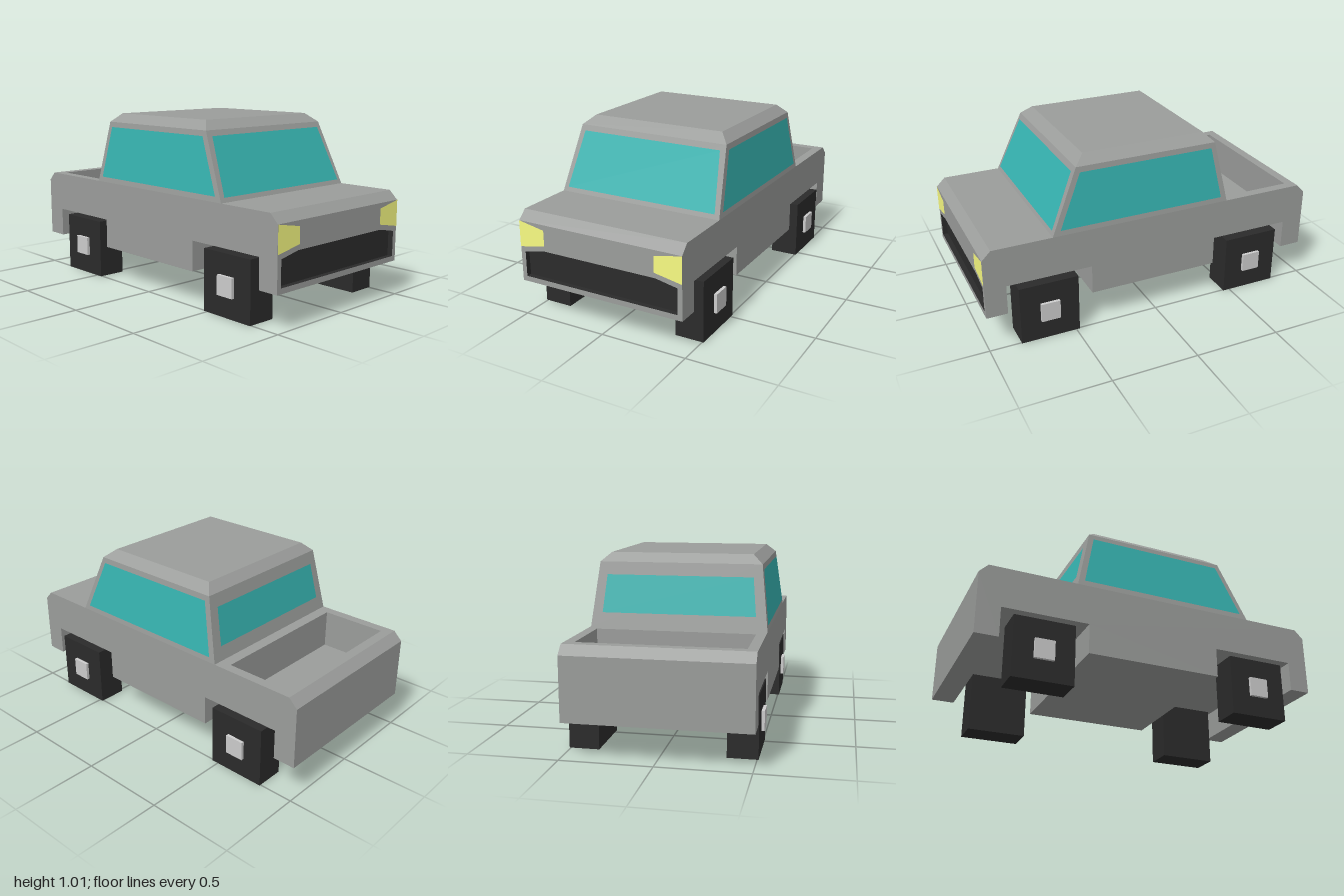
import * as THREE from 'three';

const mat = (color) => new THREE.MeshStandardMaterial({ color, flatShading: true });
const W = 0.4975; // half width of the body

// Flat convex polygons (corners counter-clockwise from outside) as one geometry
function panels(polys) {
  const pos = [];
  for (const p of polys) {
    for (let i = 1; i < p.length - 1; i++) pos.push(...p[0], ...p[i], ...p[i + 1]);
  }
  const g = new THREE.BufferGeometry();
  g.setAttribute('position', new THREE.Float32BufferAttribute(pos, 3));
  g.computeVertexNormals();
  return g;
}

// Quads joining one ring of corners to the next
const bridge = (a, b) => a.map((p, i) => {
  const j = (i + 1) % a.length;
  return [p, a[j], b[j], b[i]];
});

const shape = (pts) => new THREE.Shape(pts.map(([x, y]) => new THREE.Vector2(x, y)));

function holed(outer, hole) {
  const s = shape(outer);
  s.holes.push(shape(hole));
  return new THREE.ShapeGeometry(s);
}

export function createModel() {
  const model = new THREE.Group();
  model.name = 'pickupTruck';
  const paint = mat(0x9b9d9b), glass = mat(0x36b3b0), black = mat(0x2b2b2b);
  const lamp = mat(0xf8fb82), metal = mat(0xcccccc);

  const shell = new THREE.Group();
  shell.name = 'shell';
  shell.position.x = -0.0125;
  model.add(shell);
  const add = (name, geometry, material, parent = shell) => {
    const m = new THREE.Mesh(geometry, material);
    m.name = name;
    parent.add(m);
    return m;
  };

  // Body side outline as (z, y), with the wheel cut-outs
  const outline = [
    [1, 0.2], [1, 0.55], [0.95, 0.6], [-0.95, 0.6], [-1, 0.55], [-1, 0.2],
    [-0.87, 0.2], [-0.87, 0.37], [-0.385, 0.37], [-0.385, 0.2],
    [0.39, 0.2], [0.39, 0.37], [0.88, 0.37], [0.88, 0.2],
  ];
  for (const s of [1, -1]) {
    const g = new THREE.ShapeGeometry(shape(outline.map(([z, y]) => [-s * z, y])));
    add(s > 0 ? 'leftBodySide' : 'rightBodySide', g.rotateY(s * Math.PI / 2).translate(s * W, 0, 0), paint);
  }

  // Skin across the body; the front face and the deck have openings and follow below
  const skin = outline.map(([z, y], i) => {
    const [z2, y2] = outline[(i + 1) % outline.length];
    return [[-W, y, z], [W, y, z], [W, y2, z2], [-W, y2, z2]];
  }).filter((_, i) => i !== 0 && i !== 2);
  add('bodySkin', panels(skin), paint);

  // Front face with recessed grille
  const grille = [[-0.47, 0.23], [0.47, 0.23], [0.47, 0.375], [0.345, 0.4], [-0.345, 0.4], [-0.47, 0.375]];
  add('frontFace', holed([[-W, 0.2], [W, 0.2], [W, 0.55], [-W, 0.55]], grille).translate(0, 0, 1), paint);
  const rim = grille.map(([x, y]) => [x, y, 1]);
  const back = grille.map(([x, y]) => [x, y, 0.97]);
  add('grille', panels([...bridge(rim, back), back]), black);

  // Deck with the open cargo bed
  const bed = [[-0.4425, 0.52], [0.4425, 0.52], [0.4425, 0.895], [-0.4425, 0.895]];
  add('deck', holed([[-W, -0.95], [W, -0.95], [W, 0.95], [-W, 0.95]], bed)
    .rotateX(-Math.PI / 2).translate(0, 0.6, 0), paint);
  const bedTop = bed.map(([x, d]) => [x, 0.6, -d]);
  const bedFloor = bed.map(([x, d]) => [x, 0.38, -d]);
  add('cargoBed', panels([...bridge(bedTop, bedFloor), bedFloor]), paint);

  // Headlights
  for (const s of [1, -1]) {
    const p = [[W, 0.4], [W, 0.55], [0.338, 0.52], [0.338, 0.43]].map(([x, y]) => [s * x, y, 1.002]);
    add(s > 0 ? 'leftHeadlight' : 'rightHeadlight', panels([s > 0 ? p : p.reverse()]), lamp);
  }

  // Cabin: tapered rings of half width, height, front z and back z
  const rings = [[W, 0.6, 0.61, -0.455], [0.4575, 0.96, 0.455, -0.38], [0.4025, 1.01, 0.395, -0.33]]
    .map(([w, y, f, b]) => [[-w, y, f], [w, y, f], [w, y, b], [-w, y, b]]);
  add('cabin', panels([...bridge(rings[0], rings[1]), ...bridge(rings[1], rings[2]), rings[2]]), paint);

  // Windows lie just proud of the sloping cabin walls
  const slope = (a, b, y) => a + (b - a) * (y - 0.6) / 0.36;
  const frontZ = (y) => slope(0.61, 0.455, y) + 0.004;
  const backZ = (y) => slope(-0.455, -0.38, y) - 0.004;
  const sideX = (y) => slope(W, 0.4575, y) + 0.003;
  const across = (lo, hi, wl, wh, z, s) => panels([
    [[-s * wl, lo, z(lo)], [s * wl, lo, z(lo)], [s * wh, hi, z(hi)], [-s * wh, hi, z(hi)]]]);
  add('windshield', across(0.625, 0.93, 0.467, 0.428, frontZ, 1), glass);
  add('rearWindow', across(0.68, 0.89, 0.432, 0.412, backZ, -1), glass);
  for (const s of [1, -1]) {
    const p = [[0.63, 0.565], [0.63, -0.415], [0.93, -0.355], [0.93, 0.435]]
      .map(([y, z]) => [s * sideX(y), y, z]);
    add(s > 0 ? 'leftWindow' : 'rightWindow', panels([s > 0 ? p : p.reverse()]), glass);
  }

  // Square wheels with hub blocks
  for (const [end, z] of [['front', 0.65], ['rear', -0.63]]) {
    for (const s of [1, -1]) {
      const wheel = new THREE.Group();
      wheel.name = end + (s > 0 ? 'Left' : 'Right') + 'Wheel';
      wheel.position.set(s * 0.425, 0.1725, z);
      add('tire', new THREE.BoxGeometry(0.165, 0.345, 0.34), black, wheel);
      add('hub', new THREE.BoxGeometry(0.035, 0.11, 0.11), metal, wheel).position.x = s * 0.0825;
      model.add(wheel);
    }
  }
  return model;
}
